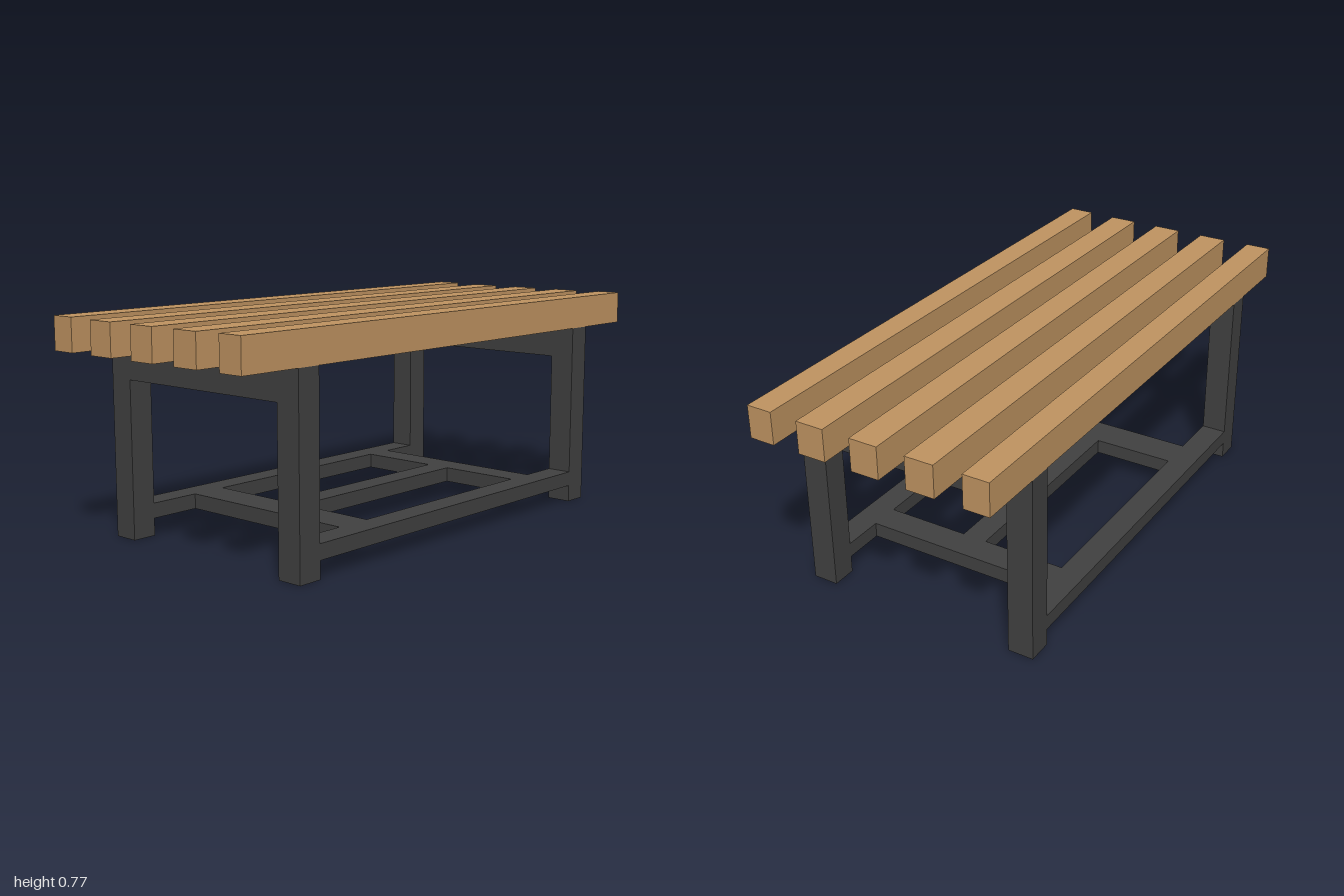
import * as THREE from 'three';

export function createModel() {
  const group = new THREE.Group();
  const wood = new THREE.MeshStandardMaterial({ color: 0xc19562 });
  wood.name = 'wood';
  const metal = new THREE.MeshStandardMaterial({ color: 0x414141 });
  metal.name = 'dark metal';

  // Box given by its extents on each axis
  function bar(name, material, [x0, x1], [y0, y1], [z0, z1]) {
    const mesh = new THREE.Mesh(new THREE.BoxGeometry(x1 - x0, y1 - y0, z1 - z0), material);
    mesh.position.set((x0 + x1) / 2, (y0 + y1) / 2, (z0 + z1) / 2);
    mesh.name = name;
    group.add(mesh);
  }
  const mirrored = (side, inner, outer) => (side > 0 ? [inner, outer] : [-outer, -inner]);

  const legIn = 0.685, legOut = 0.773, zIn = 0.346, zOut = 0.437;
  const topY = 0.66, railY = [0.061, 0.114];

  // Top slats: the outer two are slightly narrower and taller
  for (let i = -2; i <= 2; i++) {
    const outer = Math.abs(i) === 2;
    const z = outer ? mirrored(i, zIn, zOut) : [i * 0.198 - 0.05, i * 0.198 + 0.05];
    bar('topSlat', wood, [-1, 1], [topY, outer ? 0.775 : 0.773], z);
  }

  // Legs, and the beams joining each end pair
  for (const sx of [-1, 1]) {
    const x = mirrored(sx, legIn, legOut);
    for (const sz of [-1, 1]) bar('leg', metal, x, [0, topY], mirrored(sz, zIn, zOut));
    bar('endBeam', metal, x, [0.549, topY], [-zIn, zIn]);
  }

  // Lower frame: long rails, two cross rails and a middle rail between them
  for (const sz of [-1, 1]) bar('longRail', metal, [-legIn, legIn], railY, mirrored(sz, zIn, zOut));
  bar('crossRail', metal, [-0.5, -0.37], railY, [-zIn, zIn]);
  bar('crossRail', metal, [0.436, 0.54], railY, [-zIn, zIn]);
  bar('middleRail', metal, [-0.37, 0.436], railY, [-0.045, 0.045]);

  return group;
}
